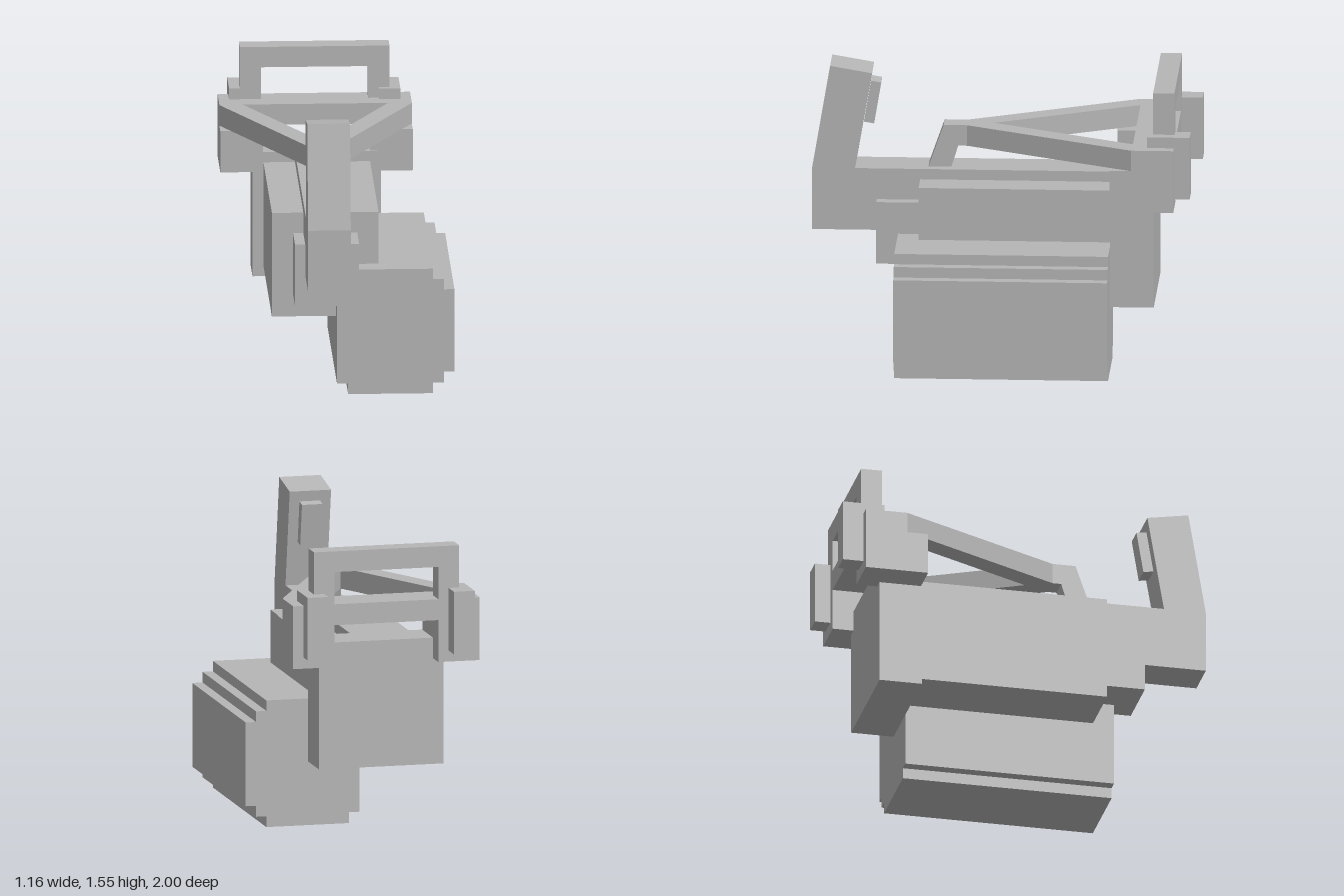
import * as THREE from 'three';

const metal = new THREE.MeshStandardMaterial({ color: 0xb6b6b6 });
metal.name = 'grey metal';

const toShape = (pts) => new THREE.Shape(pts.map(([a, b]) => new THREE.Vector2(a, b)));
const extrude = (shape, depth) => new THREE.ExtrudeGeometry(shape, { depth, bevelEnabled: false });

export function createModel() {
  const model = new THREE.Group();
  model.name = 'blockyTool';

  function add(name, geometry) {
    const mesh = new THREE.Mesh(geometry, metal);
    mesh.name = name;
    model.add(mesh);
  }

  // Box given by its extents on each axis
  function box(name, [x0, x1], [y0, y1], [z0, z1]) {
    const g = new THREE.BoxGeometry(x1 - x0, y1 - y0, z1 - z0);
    add(name, g.translate((x0 + x1) / 2, (y0 + y1) / 2, (z0 + z1) / 2));
  }

  // Side profile of [z, y] points, spanning x0 to x1
  function sideProfile(name, pts, x0, x1) {
    add(name, extrude(toShape(pts), x1 - x0).rotateY(-Math.PI / 2).translate(x1, 0, 0));
  }

  // Main body with its stepped front and wide rear block
  box('body', [-0.36, 0.192], [0.39, 0.945], [-0.56, 0.44]);
  box('frontCollar', [-0.25, 0.082], [0.505, 0.835], [0.4, 0.665]);
  box('rearBlock', [-0.417, 0.247], [0.335, 1.0], [-0.78, -0.555]);

  // Long top bar that bends up into a leaning post
  sideProfile('barAndPost', [
    [-0.56, 0.67], [1, 0.67], [1, 1.0], [0.907, 1.547], [0.69, 1.51], [0.778, 1.0], [-0.56, 1.0],
  ], -0.197, 0.024);
  sideProfile('postTab', [
    [0.735, 1.235], [0.698, 1.455], [0.645, 1.446], [0.682, 1.226],
  ], -0.14, -0.03);

  // Drum housing with stepped corners
  const drum = toShape([
    [0.03, 0], [0.47, 0], [0.47, 0.057], [0.525, 0.057], [0.525, 0.115], [0.58, 0.115],
    [0.58, 0.556], [0.525, 0.556], [0.525, 0.612], [0.47, 0.612], [0.47, 0.667],
    [-0.028, 0.667], [-0.028, 0.057], [0.03, 0.057],
  ]);
  add('sideHousing', extrude(drum, 1.107).translate(0, 0, -0.555));

  // Flat triangular carrying frame, drawn from above as [x, -z]
  const frame = toShape([
    [-0.14, -0.2], [-0.03, -0.2], [0.413, 0.67], [0.413, 0.89], [-0.583, 0.89], [-0.583, 0.67],
  ]);
  frame.holes.push(new THREE.Path([
    [-0.462, 0.675], [0.29, 0.675], [-0.085, -0.065],
  ].map(([a, b]) => new THREE.Vector2(a, b))));
  add('carryFrame', extrude(frame, 0.11).rotateX(-Math.PI / 2).translate(0, 1.113, 0));
  sideProfile('frameLeg', [
    [0.2, 1.113], [0.246, 1.113], [0.285, 0.99], [0.402, 0.99], [0.4, 1.0], [0.322, 1.223], [0.2, 1.223],
  ], -0.14, -0.03);

  // Rear handle standing on the frame
  const handle = toShape([
    [-0.473, 1.22], [-0.362, 1.22], [-0.362, 1.393], [0.192, 1.393],
    [0.192, 1.22], [0.302, 1.22], [0.302, 1.502], [-0.473, 1.502],
  ]);
  add('rearHandle', extrude(handle, 0.11).translate(0, 0, -0.89));

  // Blocks under the frame and the pegs behind them
  box('rightSupport', [-0.583, -0.362], [0.892, 1.113], [-0.89, -0.56]);
  box('leftSupport', [0.192, 0.413], [0.892, 1.113], [-0.89, -0.56]);
  box('rightPeg', [-0.528, -0.417], [0.95, 1.28], [-1, -0.78]);
  box('leftPeg', [0.247, 0.357], [0.95, 1.28], [-0.972, -0.75]);

  return model;
}
